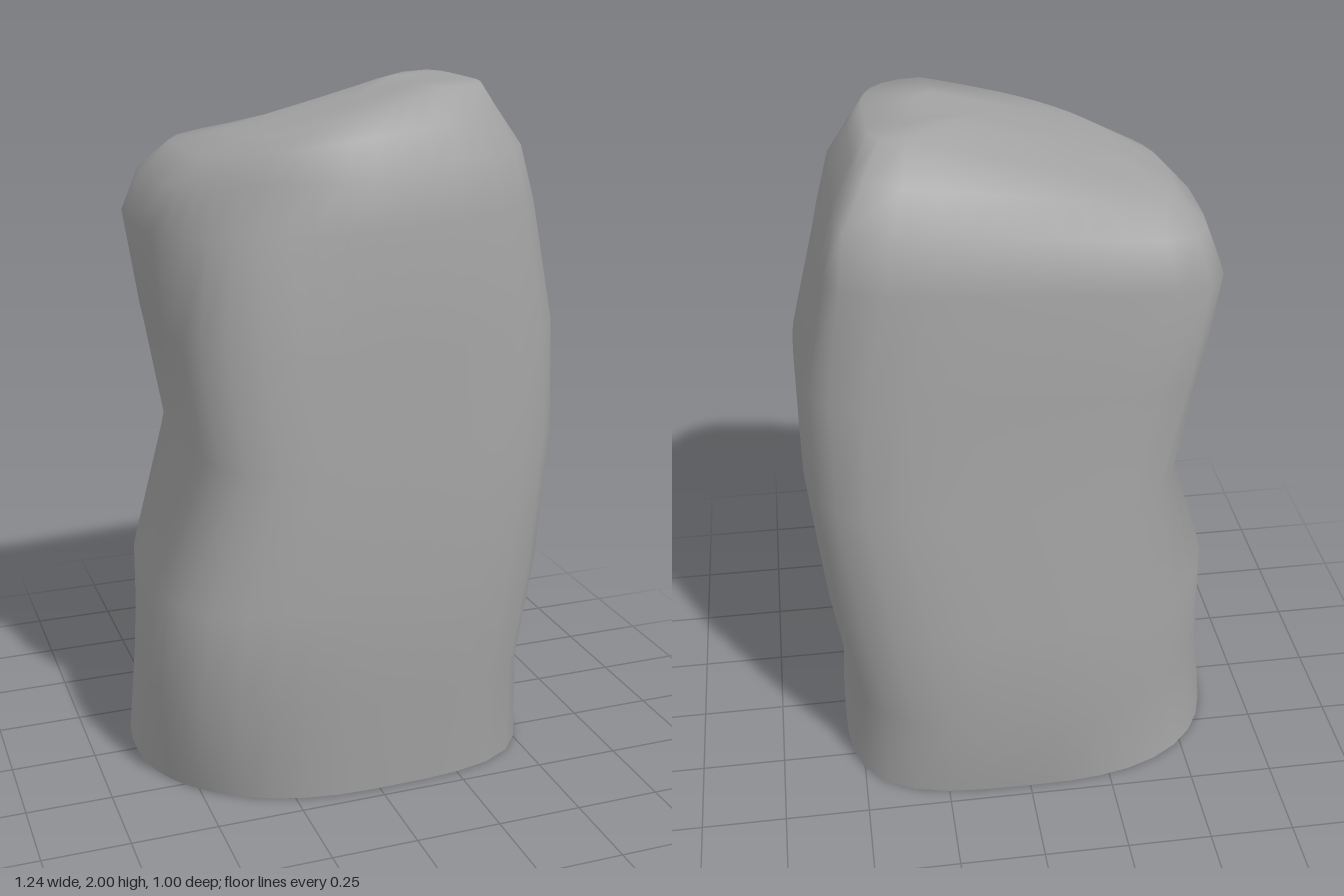
import * as THREE from 'three';

const SEGMENTS = 40;

// Rings from the ground up: y, slope along x, fall towards the back,
// x range, z range, and how square each corner is (2 is an ellipse):
// [front -x, front +x, back +x, back -x]
const RINGS = [
  { y: 0.00, slope: 0.00, fall: 0.00, x: [-0.62, 0.545], z: [-0.465, 0.46], corners: [2.1, 3.7, 3.6, 2.5] },
  { y: 0.29, slope: 0.00, fall: 0.00, x: [-0.605, 0.53], z: [-0.50, 0.48], corners: [3.6, 3.8, 3.4, 1.9] },
  { y: 0.61, slope: 0.00, fall: 0.00, x: [-0.585, 0.58], z: [-0.475, 0.50], corners: [3.9, 3.5, 3.8, 2.6] },
  { y: 1.00, slope: 0.00, fall: 0.00, x: [-0.46, 0.62], z: [-0.435, 0.475], corners: [3.8, 3.4, 4.0, 4.0] },
  { y: 1.33, slope: 0.00, fall: 0.00, x: [-0.515, 0.62], z: [-0.40, 0.46], corners: [3.5, 3.2, 4.3, 5.5] },
  { y: 1.65, slope: 0.06, fall: 0.00, x: [-0.56, 0.53], z: [-0.385, 0.44], corners: [1.65, 4.1, 9.0, 5.5] },
  { y: 1.79, slope: 0.09, fall: 0.00, x: [-0.51, 0.49], z: [-0.34, 0.405], corners: [1.7, 4.3, 16.0, 6.0] },
  { y: 1.88, slope: 0.13, fall: 0.00, x: [-0.43, 0.43], z: [-0.27, 0.37], corners: [1.9, 3.5, 14.0, 5.5] },
  { y: 1.945, slope: 0.25, fall: 0.15, x: [-0.31, 0.385], z: [-0.15, 0.33], corners: [2.2, 3.2, 8.0, 5.0] },
  { y: 1.95, slope: 0.27, fall: 0.05, x: [-0.12, 0.25], z: [-0.02, 0.20], corners: [2.2, 3.0, 4.0, 4.0] },
];

// Point on a rounded-box outline whose four corners differ
function ringPoint({ y, slope, fall, x: [x0, x1], z: [z0, z1], corners }, angle) {
  const c = Math.cos(angle), s = Math.sin(angle);
  const n = s > 0 ? corners[c > 0 ? 1 : 0] : corners[c > 0 ? 2 : 3];
  const r = (Math.abs(c) ** n + Math.abs(s) ** n) ** (-1 / n);
  const x = (x0 + x1) / 2 + (x1 - x0) / 2 * c * r;
  const z = (z0 + z1) / 2 + (z1 - z0) / 2 * s * r;
  return [x, Math.min(2, y + slope * x + fall * Math.min(0, z)), z];
}

function stoneGeometry() {
  const positions = [], index = [];
  for (const ring of RINGS) {
    for (let j = 0; j < SEGMENTS; j++) {
      positions.push(...ringPoint(ring, j / SEGMENTS * Math.PI * 2));
    }
  }
  // Centre of the sloping top
  const top = RINGS.length * SEGMENTS;
  positions.push(0.07, 1.97, 0.09);

  for (let i = 0; i < RINGS.length; i++) {
    for (let j = 0; j < SEGMENTS; j++) {
      const k = (j + 1) % SEGMENTS;
      const a = i * SEGMENTS + j, b = i * SEGMENTS + k;
      if (i === RINGS.length - 1) index.push(a, top, b);
      else index.push(a, a + SEGMENTS, b, b, a + SEGMENTS, b + SEGMENTS);
    }
  }
  const geometry = new THREE.BufferGeometry();
  geometry.setAttribute('position', new THREE.Float32BufferAttribute(positions, 3));
  geometry.setIndex(index);
  geometry.computeVertexNormals();
  return geometry;
}

export function createModel() {
  const group = new THREE.Group();
  group.name = 'standingStone';

  const stone = new THREE.MeshStandardMaterial({ color: 0xa2a2a2, side: THREE.DoubleSide });
  stone.name = 'stone grey';

  // Hollow shell, open underneath
  const mesh = new THREE.Mesh(stoneGeometry(), stone);
  mesh.name = 'stoneBody';
  group.add(mesh);
  return group;
}
